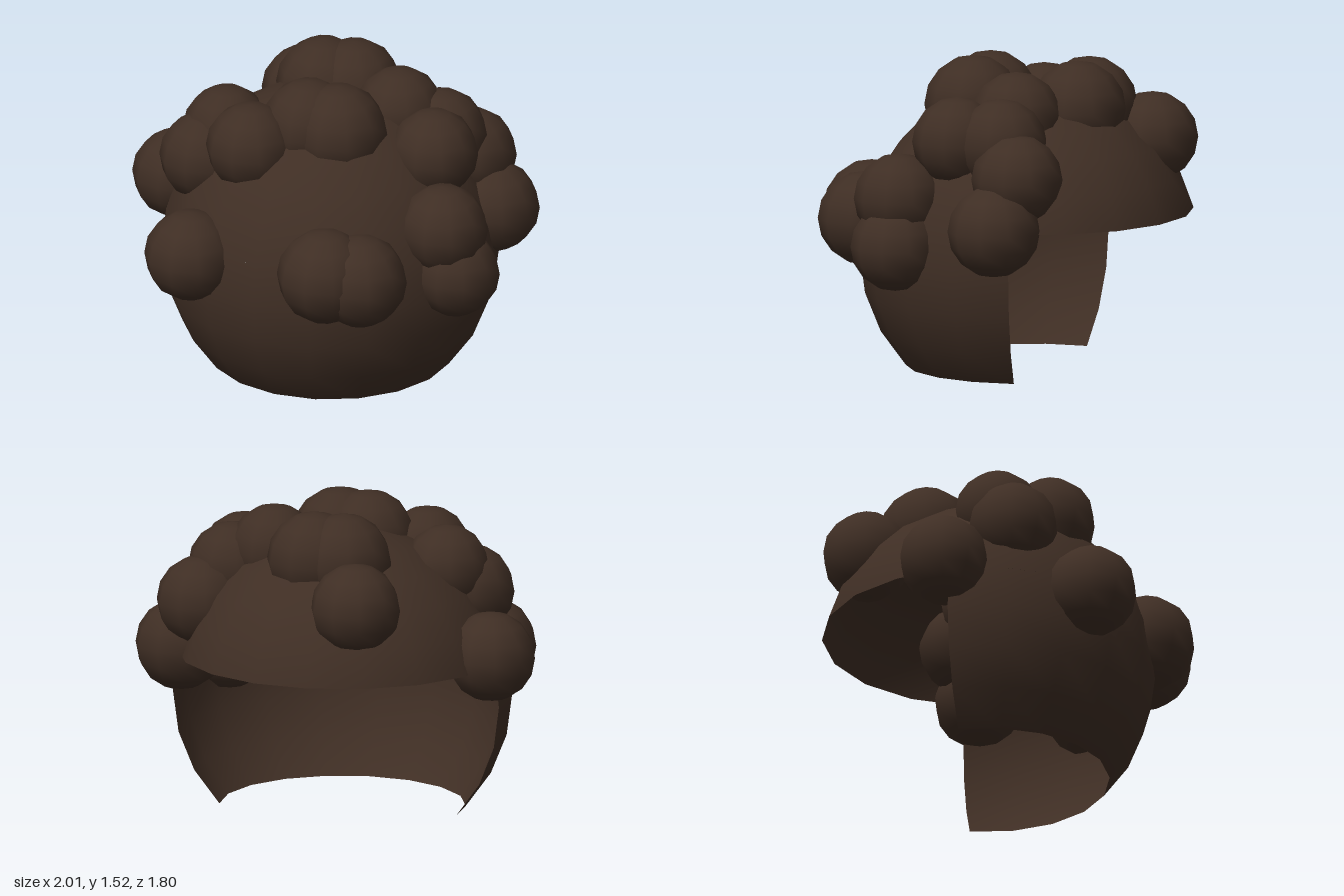
import * as THREE from 'three';

export function createModel() {
  const model = new THREE.Group();
  const brown = new THREE.MeshStandardMaterial({ color: 0x3f2e24, side: THREE.DoubleSide });
  brown.name = 'dark brown hair';
  const rad = THREE.MathUtils.degToRad;

  // Open shells cut from one sphere: a full cap and a beard open at the back and bottom
  const R = 0.825, rim = rad(76);
  const addShell = (name, geometry) => {
    const mesh = new THREE.Mesh(geometry, brown);
    mesh.name = name;
    mesh.position.set(-0.01, 0.566, -0.1);
    model.add(mesh);
  };
  addShell('hairCap', new THREE.SphereGeometry(R, 18, 6, Math.PI / 2, Math.PI * 2, 0, rim));
  addShell('beardShell', new THREE.SphereGeometry(R, 10, 4, rad(-10.5), rad(201), rim, rad(133.4) - rim));

  // Round curls: x, y, z, radius
  const curls = [
    // around the beard
    [-0.63, 0.71, 0.44, 0.225], [0.06, 0.745, 0.68, 0.235], [0.23, 0.72, 0.66, 0.23],
    [0.66, 0.66, 0.37, 0.218], [0.6, 0.89, 0.37, 0.22],
    // sides
    [0.78, 0.78, -0.17, 0.225], [0.66, 1.02, -0.25, 0.222],
    [-0.785, 0.82, -0.27, 0.22], [-0.61, 1.07, 0.06, 0.22],
    // top
    [0.52, 1.17, 0.1, 0.218], [0.53, 1.17, -0.13, 0.222], [0.32, 1.27, -0.14, 0.222],
    [0.06, 1.28, 0.16, 0.24], [-0.09, 1.29, 0.12, 0.232],
    [-0.36, 1.21, 0.23, 0.22], [-0.51, 1.19, -0.02, 0.213],
    // back
    [-0.08, 1.285, -0.385, 0.235], [0.07, 1.285, -0.375, 0.235], [-0.2, 1.12, -0.67, 0.222],
  ];
  const curlGeometry = new THREE.SphereGeometry(1, 10, 8);
  const group = new THREE.Group();
  group.name = 'curls';
  curls.forEach(([x, y, z, r], i) => {
    const curl = new THREE.Mesh(curlGeometry, brown);
    curl.name = 'curl' + (i + 1);
    curl.position.set(x, y, z);
    curl.scale.setScalar(r);
    group.add(curl);
  });
  model.add(group);
  return model;
}
